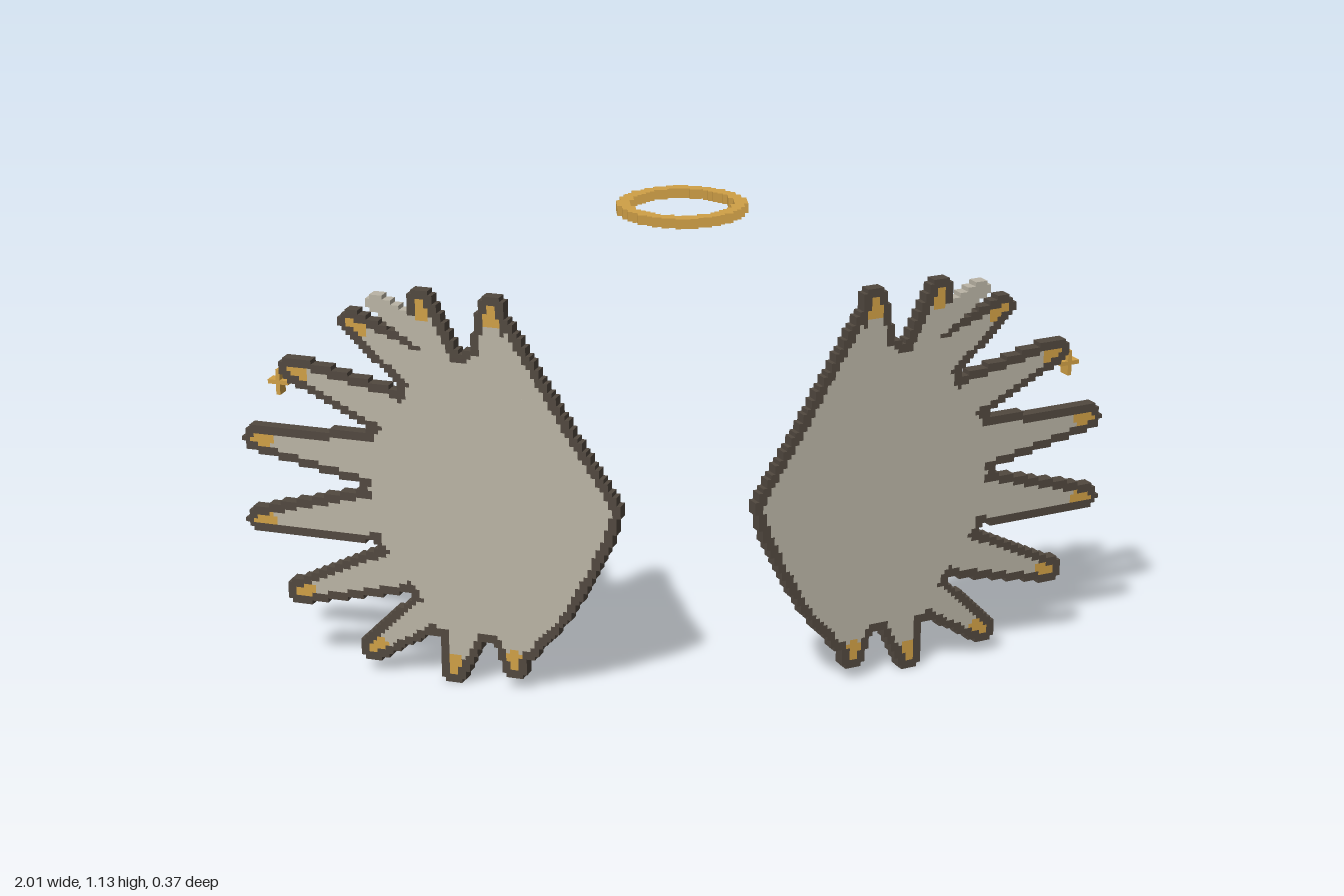
import * as THREE from 'three';
import { mergeGeometries } from 'three/addons/utils/BufferGeometryUtils.js';

const CELL = 0.01, ANGLE = 0.384, ROOT_X = 0.145, ROOT_Z = 0.167, DEPTH = 0.03;

const material = (name, color) => {
  const m = new THREE.MeshStandardMaterial({ color });
  m.name = name;
  return m;
};

// Front-plane x to distance along the swept wing
const along = x => (x - ROOT_X) / Math.cos(ANGLE);

// Tapered feathers: base x, y, radius, tip x, y, radius
const FEATHERS = [
  [0.42, 0.75, 0.07, 0.425, 0.912, 0.03],
  [0.55, 0.79, 0.055, 0.58, 0.912, 0.029],
  [0.60, 0.76, 0.06, 0.737, 0.85, 0.029],
  [0.66, 0.645, 0.06, 0.875, 0.724, 0.03],
  [0.70, 0.525, 0.065, 0.966, 0.547, 0.03],
  [0.70, 0.39, 0.065, 0.966, 0.348, 0.03],
  [0.65, 0.265, 0.06, 0.88, 0.178, 0.03],
  [0.585, 0.165, 0.05, 0.712, 0.057, 0.03],
  [0.50, 0.13, 0.055, 0.525, 0.03, 0.03],
  [0.39, 0.13, 0.05, 0.385, 0.055, 0.03],
].map(f => [along(f[0]), f[1], f[2], along(f[3]), f[4], f[5]]);

// Small feather without a dark edge
const PALE = [along(0.58), 0.84, 0.03, along(0.682), 0.902, 0.02];

// Wing body, running from the inner edge through the gaps between feathers
const BODY = [
  [0.145, 0.47], [0.165, 0.51], [0.235, 0.62], [0.325, 0.78], [0.385, 0.885], [0.49, 0.8],
  [0.595, 0.82], [0.635, 0.7], [0.71, 0.59], [0.725, 0.455], [0.7, 0.32], [0.62, 0.205],
  [0.565, 0.11], [0.44, 0.11], [0.35, 0.075], [0.26, 0.19], [0.205, 0.3], [0.165, 0.39],
].map(([x, y]) => [along(x), y]);

// Signed distances, negative inside
function featherDistance([ax, ay, ar, bx, by, br], x, y) {
  const dx = bx - ax, dy = by - ay;
  const t = THREE.MathUtils.clamp(((x - ax) * dx + (y - ay) * dy) / (dx * dx + dy * dy), 0, 1);
  return Math.hypot(x - ax - dx * t, y - ay - dy * t) - (ar + (br - ar) * t);
}

function bodyDistance(x, y) {
  let best = Infinity, inside = false;
  BODY.forEach(([ax, ay], i) => {
    const [bx, by] = BODY[(i + 1) % BODY.length];
    best = Math.min(best, featherDistance([ax, ay, 0, bx, by, 0], x, y));
    if ((ay > y) !== (by > y) && x < ax + (bx - ax) * (y - ay) / (by - ay)) inside = !inside;
  });
  return inside ? -best : best;
}

// Which part a wing cell belongs to
function wingCell(x, y) {
  const d = Math.min(bodyDistance(x, y), ...FEATHERS.map(f => featherDistance(f, x, y)));
  if (featherDistance(PALE, x, y) < 0 && d > -0.02) return 'vane';
  if (d > 0) return null;
  if (d > -0.02) return 'edge';
  return FEATHERS.some(f => Math.hypot(x - f[3], y - f[4]) < 0.042) ? 'tip' : 'vane';
}

// Fill a grid with blocks, joining equal neighbours in each row
function blocks(pick, x0, x1, y0, y1, depth, side = 1) {
  const parts = {};
  const cols = Math.round((x1 - x0) / CELL), rows = Math.round((y1 - y0) / CELL);
  for (let j = 0; j < rows; j++) {
    const y = y0 + (j + 0.5) * CELL;
    let start = 0, kind = null;
    for (let i = 0; i <= cols; i++) {
      const next = i < cols ? pick(x0 + (i + 0.5) * CELL, y) : null;
      if (next === kind) continue;
      if (kind) {
        const box = new THREE.BoxGeometry((i - start) * CELL, CELL, depth);
        box.translate(side * (x0 + (start + i) / 2 * CELL), y, 0);
        (parts[kind] ??= []).push(box);
      }
      start = i;
      kind = next;
    }
  }
  return Object.entries(parts).map(([kind, list]) => [kind, mergeGeometries(list)]);
}

export function createModel() {
  const gold = material('gold', 0xd0a046);
  const mats = { vane: material('warmGrey', 0xbab4a5), edge: material('darkBrown', 0x51483f), tip: gold, ring: gold };
  const names = { vane: 'wingVane', edge: 'wingEdge', tip: 'featherTips', ring: 'haloRing' };
  const model = new THREE.Group();
  model.name = 'wingsAndHalo';

  const add = (parent, kind, geometry, name = names[kind]) => {
    const mesh = new THREE.Mesh(geometry, mats[kind]);
    mesh.name = name;
    parent.add(mesh);
    return mesh;
  };

  // Swept wings
  for (const side of [1, -1]) {
    const wing = new THREE.Group();
    wing.name = side > 0 ? 'leftWing' : 'rightWing';
    wing.position.set(side * ROOT_X, 0, ROOT_Z);
    wing.rotation.y = side * ANGLE;
    for (const [kind, geometry] of blocks(wingCell, -0.02, 0.93, 0, 0.96, DEPTH, side)) add(wing, kind, geometry);

    // Small cross hanging at the feather tip
    const cross = mergeGeometries([
      new THREE.BoxGeometry(CELL, 0.06, DEPTH),
      new THREE.BoxGeometry(0.05, CELL, DEPTH),
    ]);
    add(wing, 'tip', cross, 'tipCross').position.set(side * along(0.908), 0.69, 0);
    model.add(wing);
  }

  // Halo above the wings
  const ringCell = (x, y) => {
    const r = Math.hypot(x, y);
    return r > 0.113 && r < 0.142 ? 'ring' : null;
  };
  for (const [kind, geometry] of blocks(ringCell, -0.145, 0.145, -0.145, 0.145, 0.022)) {
    const ring = add(model, kind, geometry);
    ring.rotation.x = -Math.PI / 2;
    ring.position.set(0, 1.12, 0.005);
  }
  return model;
}
